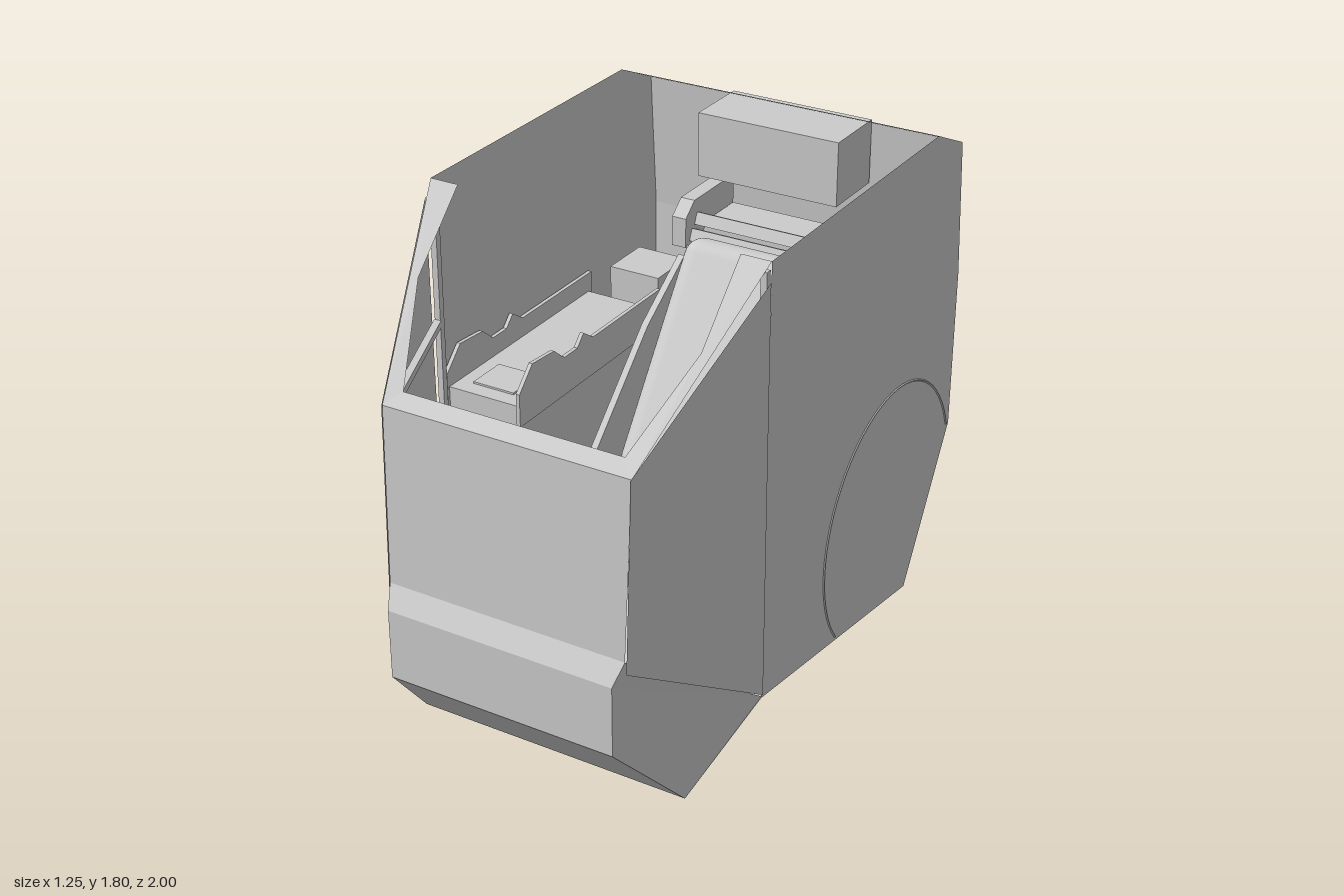
import * as THREE from 'three';
import { RoundedBoxGeometry } from 'three/addons/geometries/RoundedBoxGeometry.js';

const grey = new THREE.MeshStandardMaterial({ color: 0xcccccc, side: THREE.DoubleSide, flatShading: true });
const smooth = new THREE.MeshStandardMaterial({ color: 0xcccccc });

export function createModel() {
  const root = new THREE.Group();
  const add = (name, geo, mat = grey) => {
    const m = new THREE.Mesh(geo, mat);
    m.name = name;
    root.add(m);
    return m;
  };
  // thin convex panel from its corner points
  const panel = (name, pts) => {
    const v = [];
    for (let i = 1; i < pts.length - 1; i++) v.push(...pts[0], ...pts[i], ...pts[i + 1]);
    const g = new THREE.BufferGeometry();
    g.setAttribute('position', new THREE.Float32BufferAttribute(v, 3));
    g.computeVertexNormals();
    return add(name, g);
  };
  const box = (name, x, y, z, w, h, d, rx = 0) => {
    const m = add(name, new THREE.BoxGeometry(w, h, d));
    m.position.set(x, y, z);
    m.rotation.x = rx;
    return m;
  };
  const pad = (name, x, y, z, w, h, d, r, rx = 0) => {
    const m = add(name, new RoundedBoxGeometry(w, h, d, 4, r), smooth);
    m.position.set(x, y, z);
    m.rotation.x = rx;
    return m;
  };
  // upright plate with a [z, y] outline, centred on x
  const plate = (name, x, t, pts) => {
    const s = new THREE.Shape(pts.map(p => new THREE.Vector2(p[0], p[1])));
    const g = new THREE.ExtrudeGeometry(s, { depth: t, bevelEnabled: false });
    g.rotateY(-Math.PI / 2).translate(x + t / 2, 0, 0);
    return add(name, g);
  };
  const beam = (name, a, b, t) => {
    const A = new THREE.Vector3(...a), B = new THREE.Vector3(...b);
    const m = add(name, new THREE.BoxGeometry(t, t, A.distanceTo(B)));
    m.position.copy(A).add(B).multiplyScalar(0.5);
    m.lookAt(B);
    return m;
  };
  // full-width panels running along a list of [halfWidth, y, z] stations
  const band = (name, st) => {
    for (let i = 0; i < st.length - 1; i++) {
      const [a, b] = [st[i], st[i + 1]];
      panel(name, [[a[0], a[1], a[2]], [-a[0], a[1], a[2]], [-b[0], b[1], b[2]], [b[0], b[1], b[2]]]);
    }
  };

  // rear and floor skin
  const W = 0.615;
  band('rearShell', [[W, 1.8, -0.75], [W, 1.71, -0.95], [W, 1.21, -0.985], [W, 0.62, -0.98], [W, 0.09, -0.67], [W, 0.245, 0.4]]);
  // front skin with the chin
  band('frontShell', [[0.4, 1.31, 0.88], [0.45, 1.27, 0.925], [0.44, 0.645, 0.955], [0.42, 0.57, 1],
    [0.42, 0.315, 1], [0.51, 0, 0.71], [W, 0.245, 0.4]]);

  for (const s of [-1, 1]) {
    const P = pts => pts.map(([x, y, z]) => [s * x, y, z]);
    // side wall, angled cheek and chin side
    panel('sideWall', P([[W, 1.8, 0.4], [W, 1.8, -0.75], [W, 1.71, -0.95], [W, 1.21, -0.985],
      [W, 0.62, -0.98], [W, 0.09, -0.67], [W, 0.245, 0.4]]));
    panel('cheekPanel', P([[0.625, 1.74, 0.42], [0.45, 1.27, 0.93], [0.445, 0.6, 0.955], [0.625, 0.265, 0.41]]));
    panel('chinSide', P([[W, 0.25, 0.4], [0.44, 0.645, 0.955], [0.42, 0.57, 1], [0.42, 0.315, 1], [0.51, 0, 0.71]]));
    // pillar beside the front opening
    panel('pillar', P([[0.51, 1.57, 0.63], [0.51, 1.8, 0.4], [W, 1.8, 0.4], [0.45, 1.27, 0.925], [0.4, 1.31, 0.88]]));
    // bracing inside the cheek
    const corner = [s * 0.43, 1.26, 0.9];
    beam('cheekPost', [s * 0.6, 0.3, 0.41], [s * 0.6, 1.77, 0.41], 0.022);
    beam('cheekBrace', [s * 0.6, 1.3, 0.42], corner, 0.025);
    beam('cheekBrace', [s * 0.6, 0.85, 0.42], corner, 0.025);

    // round seam on the side wall
    const seam = add('sideSeam', new THREE.TorusGeometry(0.48, 0.004, 4, 40, 3.5));
    seam.geometry.rotateZ(-0.66).rotateY(-Math.PI / 2);
    seam.position.set(s * W, 0.48, -0.5);

    // skid blades, runner strips and rear clips
    plate('skidBlade', s * 0.31, 0.015, [[0.14, 0.22], [0.14, 0.18], [-0.67, 0.035], [-0.985, 0.57], [-0.97, 0.62], [-0.64, 0.11]]);
    box('runnerStrip', s * 0.19, 0.147, -0.19, 0.035, 0.025, 0.72, -0.144);
    box('rearClip', s * 0.46, 0.592, -0.975, 0.165, 0.035, 0.05);

    // side console with jagged rails
    box('console', s * 0.465, 0.65, -0.05, 0.28, 0.8, 0.86);
    box('consoleStep', s * 0.465, 0.62, -0.52, 0.26, 0.76, 0.09);
    box('consoleHatch', s * 0.46, 1.052, 0.245, 0.16, 0.01, 0.15);
    box('consoleRear', s * 0.47, 0.68, -0.69, 0.2, 0.86, 0.2);
    for (const x of [0.315, 0.602]) {
      plate('consoleRail', s * x, 0.014, [[0.39, 0.98], [0.39, 1.1], [0.31, 1.18], [0.18, 1.17], [0.12, 1.12],
        [0.04, 1.12], [0, 1.16], [-0.06, 1.12], [-0.5, 1.12], [-0.5, 0.98]]);
    }

    // seat side frame and headrest bracket
    plate('seatFrame', s * 0.28, 0.025, [[-0.6, 1.22], [-0.35, 1.05], [0.05, 0.66], [0.22, 0.62], [0.22, 0.5], [-0.15, 0.5], [-0.66, 1.1]]);
    plate('headBracket', s * 0.29, 0.055, [[-0.94, 1.41], [-0.66, 1.41], [-0.6, 1.36], [-0.6, 1.25], [-0.7, 1.25], [-0.76, 1.3], [-0.94, 1.3]]);

    // thigh pad, leg rest and foot rest
    pad('thighPad', s * 0.155, 0.58, 0.02, 0.19, 0.11, 0.26, 0.04);
    box('kneeBlock', s * 0.17, 0.55, 0.18, 0.14, 0.07, 0.1);
    box('legRest', s * 0.175, 0.38, 0.42, 0.19, 0.05, 0.56, 0.8);
    for (const e of [-1, 1]) box('legRestEdge', s * 0.175 + e * 0.098, 0.4, 0.42, 0.012, 0.09, 0.56, 0.8);
    box('footRest', s * 0.175, 0.19, 0.765, 0.17, 0.04, 0.22, -0.25);
    for (let i = 0; i < 4; i++) {
      const roller = add('footRoller', new THREE.CylinderGeometry(0.02, 0.02, 0.035, 8));
      roller.geometry.rotateZ(Math.PI / 2);
      roller.position.set(s * 0.175 + (i - 1.5) * 0.042, 0.2, 0.65);
    }
  }

  // cabin floor and centre pedestal
  box('cabinFloor', 0, 0.27, -0.17, 1.21, 0.03, 1.12);
  box('pedestal', 0, 0.4, 0.15, 0.1, 0.26, 0.46);
  box('pedestalTip', 0, 0.56, -0.07, 0.1, 0.16, 0.03);

  // seat back, head support and rear box
  pad('seatBack', 0, 0.93, -0.38, 0.5, 0.88, 0.16, 0.07, -0.62);
  box('seatBackPanel', 0, 0.88, -0.47, 0.46, 0.86, 0.06, -0.62);
  for (let i = 0; i < 3; i++) box('headSupportBar', 0, 1.335 - i * 0.05, -0.68 + i * 0.035, 0.52, 0.045, 0.03, -0.4);
  box('headRail', 0, 1.25, -0.86, 0.6, 0.08, 0.2);
  box('rearBox', 0, 1.605, -0.825, 0.545, 0.235, 0.25);

  return root;
}
